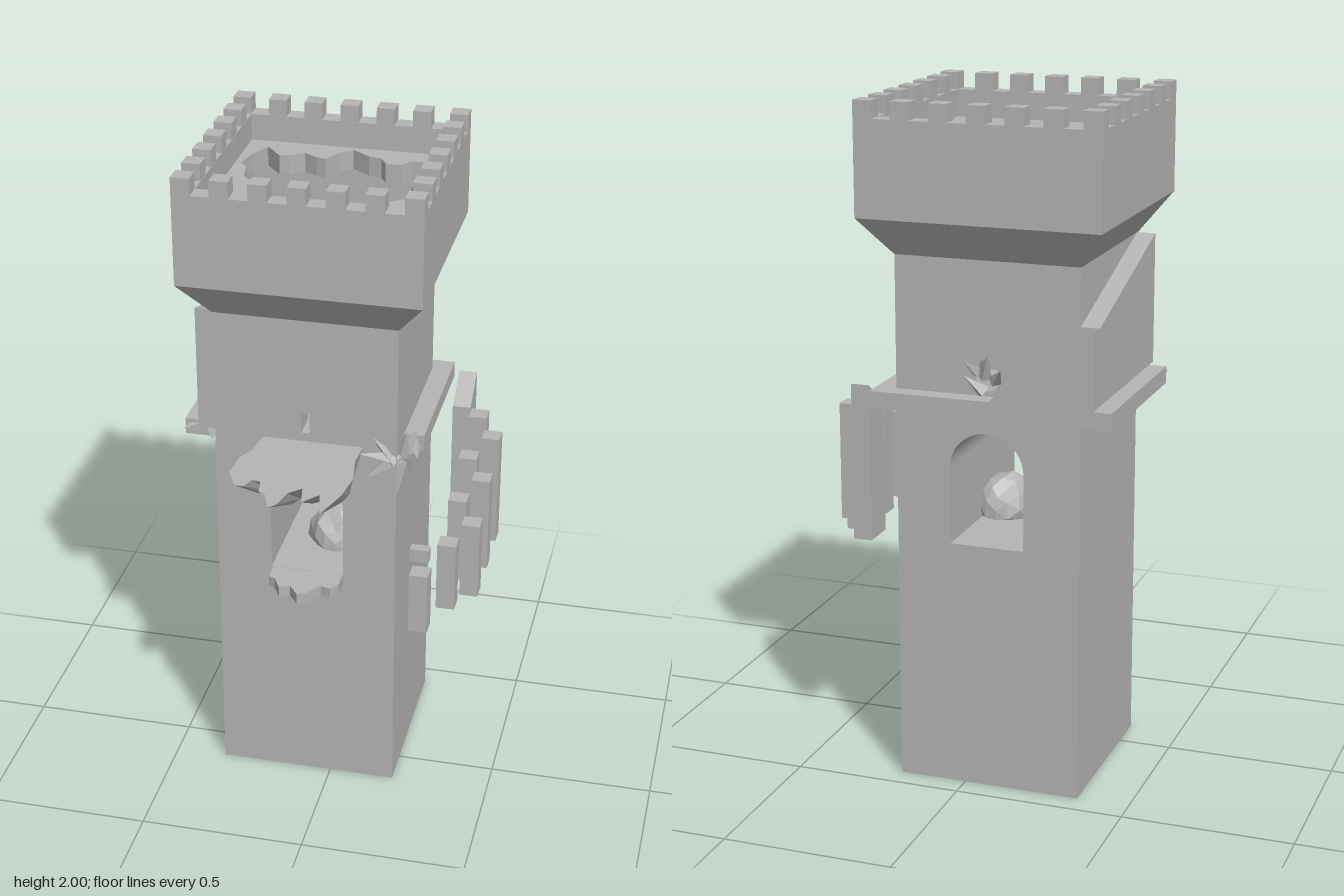
import * as THREE from 'three';

export function createModel() {
  const model = new THREE.Group();
  const stone = new THREE.MeshStandardMaterial({ color: 0xb4b4b4, flatShading: true });
  stone.name = 'grey stone';

  const add = (name, geometry) => {
    const mesh = new THREE.Mesh(geometry, stone);
    mesh.name = name;
    model.add(mesh);
    return mesh;
  };
  // Box from its limits; top(x, z) may replace the height of the upper corners
  const box = (name, x0, x1, y0, y1, z0, z1, top) => {
    const g = new THREE.BoxGeometry(x1 - x0, y1 - y0, z1 - z0);
    g.translate((x0 + x1) / 2, (y0 + y1) / 2, (z0 + z1) / 2);
    const p = g.attributes.position;
    if (top) for (let i = 0; i < p.count; i++) {
      if (p.getY(i) > (y0 + y1) / 2) p.setY(i, top(p.getX(i), p.getZ(i)));
    }
    return add(name, g);
  };
  const shapeOf = pts => new THREE.Shape(pts.map(p => new THREE.Vector2(p[0], p[1])));
  // Plan outline (x, z) extruded downward from a given top height
  const slab = (shape, top, depth) => {
    const g = new THREE.ExtrudeGeometry(shape, { depth, bevelEnabled: false });
    g.rotateX(Math.PI / 2);
    return g.translate(0, top, 0);
  };
  const rectangle = (x0, x1, y0, y1) => shapeOf([[x0, y0], [x1, y0], [x1, y1], [x0, y1]]);

  const L = -0.345, R = 0.2, B = -0.43, F = 0.115, T = 0.085;
  const cx = (L + R) / 2, cz = (B + F) / 2;

  // Lower shaft with an arched passage running from front to back
  const lower = rectangle(L, R, 0, 1.13);
  const arch = new THREE.Path();
  arch.moveTo(-0.18, 0.735);
  arch.lineTo(0.04, 0.735);
  arch.lineTo(0.04, 0.96);
  arch.absarc(-0.07, 0.96, 0.11, 0, Math.PI, false);
  arch.lineTo(-0.18, 0.735);
  lower.holes.push(arch);
  add('lowerShaft', new THREE.ExtrudeGeometry(lower, { depth: F - B, bevelEnabled: false, curveSegments: 24 })
    .translate(0, 0, B));

  // Hollow upper shaft with slits in the front and back walls
  const slitWall = (name, z, slit) => {
    const wall = rectangle(L, R, 1.13, 1.565);
    wall.holes.push(new THREE.Path(slit.map(p => new THREE.Vector2(p[0], p[1]))));
    add(name, new THREE.ExtrudeGeometry(wall, { depth: T, bevelEnabled: false }).translate(0, 0, z));
  };
  slitWall('frontWall', F - T, [[-0.085, 1.205], [-0.06, 1.205], [-0.06, 1.27], [-0.085, 1.27]]);
  slitWall('backWall', B, [[-0.1, 1.2], [-0.055, 1.19], [-0.04, 1.23], [-0.055, 1.285], [-0.085, 1.275], [-0.11, 1.25]]);
  box('rightWall', L, L + T, 1.13, 1.565, B + T, F - T);
  box('leftWall', R - T, R, 1.13, 1.565, B + T, F - T);

  // Flared head with its parapet and inner chamber
  const profile = [[0.19, 1.565], [0.2725, 1.565], [0.355, 1.675], [0.355, 1.95], [0.3, 1.95],
    [0.3, 1.62], [0.19, 1.62], [0.19, 1.565]].map(p => new THREE.Vector2(p[0] * Math.SQRT2, p[1]));
  add('head', new THREE.LatheGeometry(profile, 4, Math.PI / 4).translate(cx, 0, cz));

  // Battlements around the rim
  const m = 0.054, half = 0.355, pitch = (2 * half - m) / 6;
  for (let i = 0; i < 7; i++) for (let j = 0; j < 7; j++) {
    if (i % 6 && j % 6) continue;
    const x = cx - half + i * pitch, z = cz - half + j * pitch;
    box('merlon', x, x + m, 1.95, 2, z, z + m);
  }

  // Roof floor with a broken hole
  const roof = rectangle(cx - 0.3, cx + 0.3, cz - 0.3, cz + 0.3);
  roof.holes.push(new THREE.Path([[-0.31, -0.41], [-0.26, -0.35], [-0.23, -0.355], [-0.19, -0.385],
    [-0.15, -0.36], [-0.12, -0.35], [-0.09, -0.41], [-0.055, -0.44], [0, -0.4], [0.04, -0.39],
    [0.06, -0.355], [0.11, -0.355], [0.13, -0.39], [0.17, -0.39], [0.18, -0.33], [0.19, -0.28],
    [0.17, -0.2], [0.21, -0.13], [0.12, -0.07], [0.12, 0.03], [-0.26, 0.03], [-0.26, -0.1],
    [-0.32, -0.17], [-0.33, -0.24], [-0.355, -0.27], [-0.34, -0.34]].map(p => new THREE.Vector2(p[0], p[1]))));
  add('brokenRoof', slab(roof, 1.87, 0.06));

  // Remains of the inner stair
  for (let i = 0; i < 4; i++) {
    box('innerStep', -0.26, -0.18 + 0.01 * i, 1.13, 1.2 + i * 0.06, -0.08 - i * 0.065, -0.015 - i * 0.065);
  }
  for (let i = 0; i < 4; i++) {
    box('innerStep', -0.2 + i * 0.045, -0.155 + i * 0.045, 1.38 + i * 0.05, 1.44 + i * 0.05, -0.345, -0.27);
  }
  for (let i = 0; i < 3; i++) box('innerBlock', 0.04, 0.115, 1.13, 1.35 - i * 0.07, -0.27 + i * 0.055, -0.215 + i * 0.055);

  // Ledges on both sides and the back
  box('rightLedge', -0.452, L, 1.13, 1.18, -0.485, 0.06);
  box('leftLedge', R, 0.26, 1.13, 1.18, -0.485, 0.01);
  box('backLedge', L, R, 1.13, 1.18, -0.485, B);

  // Stair walls climbing along the back and the right side
  box('backRamp', -0.4, -0.1, 1.18, 1.4, -0.485, B, x => (x < -0.2 ? 1.4 : 1.185));
  box('sideRamp', -0.4, L, 1.18, 1.5, B, 0.1, (x, z) => (z > -0.2 ? 1.565 : 1.4));

  // Broken canopy over the front arch: the underside tapers inward
  const canopyOutline = [[-0.2, 0.115], [0.1, 0.115], [0.095, 0.2], [0.112, 0.3], [0.1, 0.4], [0.065, 0.51],
    [0.04, 0.41], [0, 0.46], [-0.015, 0.385], [-0.05, 0.42], [-0.065, 0.49], [-0.085, 0.51], [-0.11, 0.44],
    [-0.13, 0.43], [-0.14, 0.375], [-0.165, 0.37], [-0.18, 0.41], [-0.205, 0.41], [-0.24, 0.34],
    [-0.235, 0.25], [-0.21, 0.2]];
  const canopy = slab(shapeOf(canopyOutline), 1.178, 0.108);
  const cp = canopy.attributes.position;
  for (let i = 0; i < cp.count; i++) if (cp.getY(i) < 1.12) {
    cp.setX(i, -0.065 + (cp.getX(i) + 0.065) * 0.82);
    cp.setZ(i, F + (cp.getZ(i) - F) * 0.48);
  }
  add('canopy', canopy);

  // Broken sill below the arch
  add('sill', slab(shapeOf([[-0.175, 0.1], [0.04, 0.1], [0.04, 0.17], [0.02, 0.2], [-0.01, 0.19], [-0.04, 0.235],
    [-0.07, 0.25], [-0.1, 0.21], [-0.13, 0.225], [-0.155, 0.18], [-0.175, 0.17]]), 0.734, 0.034));

  // Rubble mound inside the passage
  const rubble = new THREE.IcosahedronGeometry(0.1, 2);
  const rp = rubble.attributes.position;
  for (let i = 0; i < rp.count; i++) {
    const x = rp.getX(i), y = rp.getY(i), z = rp.getZ(i);
    const k = 1 + 0.08 * Math.sin(53 * x + 31 * y) * Math.cos(47 * z);
    rp.setXYZ(i, Math.min(x * k, 0.052), Math.max(y * k * 1.15, -0.005), z * k);
  }
  add('rubble', rubble.translate(-0.012, 0.742, -0.1));

  // Splinters where ledges have broken off: [base], [tip], radius
  const up = new THREE.Vector3(0, 1, 0);
  const splinter = (a, b, r) => {
    const from = new THREE.Vector3(...a), dir = new THREE.Vector3(...b).sub(from);
    const g = new THREE.ConeGeometry(r, dir.length(), 4);
    const mesh = add('splinter', g);
    mesh.position.copy(from).addScaledVector(dir, 0.5);
    mesh.quaternion.setFromUnitVectors(up, dir.normalize());
  };
  for (const [a, b, r] of [
    [[0.19, 1.14, 0.1], [0.13, 1.22, 0.125], 0.026], [[0.19, 1.15, 0.1], [0.09, 1.17, 0.14], 0.026],
    [[0.18, 1.14, 0.1], [0.11, 1.09, 0.14], 0.026], [[0.2, 1.13, 0.09], [0.2, 1.03, 0.11], 0.026],
    [[0.2, 1.13, 0.05], [0.22, 1.22, 0.07], 0.026], [[0.21, 1.14, 0.03], [0.24, 1.2, 0.01], 0.024],
    [[0.21, 1.13, 0.03], [0.23, 1.05, 0.02], 0.024], [[0.23, 1.15, 0], [0.25, 1.13, 0.06], 0.024],
    [[-0.42, 1.155, 0.05], [-0.45, 1.16, 0.085], 0.022], [[-0.37, 1.155, 0.05], [-0.36, 1.14, 0.1], 0.022],
    [[-0.07, 1.2, -0.45], [-0.02, 1.25, -0.48], 0.022], [[-0.07, 1.24, -0.44], [-0.09, 1.31, -0.475], 0.022],
    [[-0.05, 1.25, -0.44], [-0.02, 1.29, -0.48], 0.018], [[-0.1, 1.23, -0.44], [-0.13, 1.27, -0.48], 0.02]]) splinter(a, b, r);

  // Free-standing stair pillars on the left side: [x, z, top]
  const s = 0.0275;
  for (const [x, z, top] of [[0.3125, 0.312, 0.905], [0.3675, 0.172, 0.93], [0.4225, 0.087, 0.955],
    [0.3675, 0.005, 0.985], [0.4225, -0.077, 1.015], [0.3675, -0.158, 1.04], [0.4225, -0.24, 1.07],
    [0.3675, -0.323, 1.095]]) {
    box('stairPillar', x - s, x + s, 0.715, top, z - s, z + s);
  }
  box('pillarFragment', 0.285, 0.34, 0.95, 0.99, 0.305, 0.335);
  box('topPillar', 0.285, 0.34, 0.715, 1.18, -0.43, -0.325, (x, z) => (z < -0.4 ? 1.18 : 1.11));

  return model;
}
